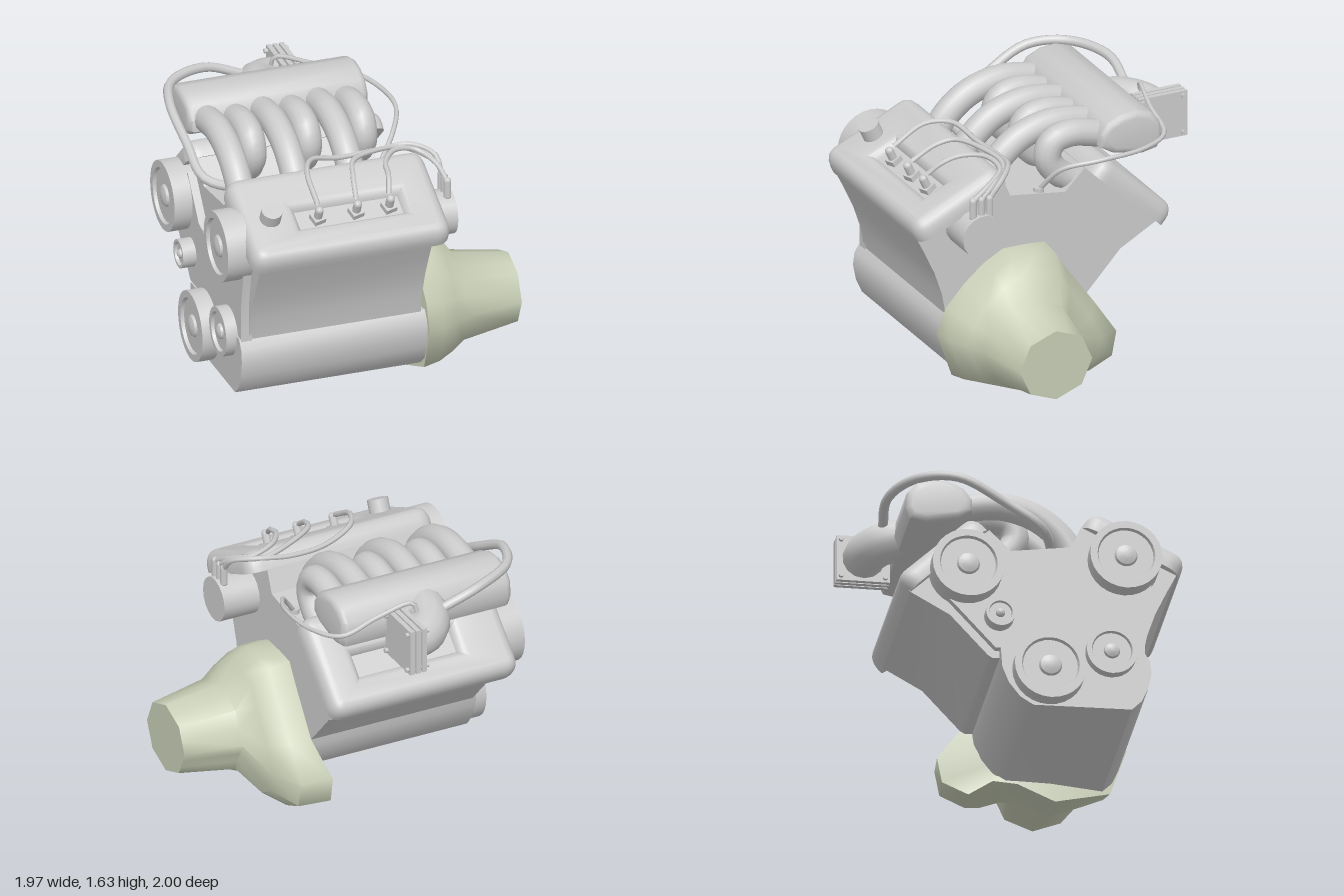
import * as THREE from 'three';
import { toCreasedNormals } from 'three/addons/utils/BufferGeometryUtils.js';

const grey = new THREE.MeshStandardMaterial({ color: 0xcccccc });
const thin = new THREE.MeshStandardMaterial({ color: 0xcccccc, side: THREE.DoubleSide });
const olive = new THREE.MeshStandardMaterial({ color: 0xc8ceb6 });
const V = (p) => new THREE.Vector3(...p);

function add(parent, name, geometry, material = grey) {
  const mesh = new THREE.Mesh(geometry, material);
  mesh.name = name;
  parent.add(mesh);
  return mesh;
}

// Extrudes a [z, y] outline along x from x0 to x1, with optional rounded ends
function alongX(outline, x0, x1, bevel = 0) {
  const shape = new THREE.Shape(outline.map(([z, y]) => new THREE.Vector2(-z, y)));
  const geo = new THREE.ExtrudeGeometry(shape, {
    depth: x1 - x0 - 2 * bevel, bevelEnabled: bevel > 0, bevelThickness: bevel,
    bevelSize: bevel, bevelOffset: -bevel, bevelSegments: 3,
  });
  geo.rotateY(Math.PI / 2).translate(x0 + bevel, 0, 0);
  return toCreasedNormals(geo, 0.7);
}

function tube(points, radius, sides = 8, segments = 32) {
  return new THREE.TubeGeometry(new THREE.CatmullRomCurve3(points.map(V)), segments, radius, sides);
}

// Closed skin over rings of points, each ring clockwise seen from +x
function loft(rings) {
  const n = rings[0].length, pos = [], idx = [];
  for (const ring of rings) for (const p of ring) pos.push(...p);
  for (let i = 0; i < rings.length - 1; i++) {
    for (let j = 0; j < n; j++) {
      const a = i * n + j, b = i * n + (j + 1) % n;
      idx.push(a, a + n, b, b, a + n, b + n);
    }
  }
  const last = (rings.length - 1) * n, c0 = rings.length * n;
  pos.push(0.26, 0.4, 0.3, rings[rings.length - 1][0][0], 0.39, 0.36);
  for (let j = 0; j < n; j++) {
    const k = (j + 1) % n;
    idx.push(c0, j, k, c0 + 1, last + k, last + j);
  }
  const geo = new THREE.BufferGeometry();
  geo.setAttribute('position', new THREE.Float32BufferAttribute(pos, 3));
  geo.setIndex(idx);
  return toCreasedNormals(geo, 1.05);
}

function roundedRect(x0, y0, x1, y1, r) {
  return new THREE.Shape().moveTo(x0 + r, y0).lineTo(x1 - r, y0).quadraticCurveTo(x1, y0, x1, y0 + r)
    .lineTo(x1, y1 - r).quadraticCurveTo(x1, y1, x1 - r, y1)
    .lineTo(x0 + r, y1).quadraticCurveTo(x0, y1, x0, y1 - r)
    .lineTo(x0, y0 + r).quadraticCurveTo(x0, y0, x0 + r, y0);
}

// Valve cover lying on a tilted plane from start to end [z, y], with a sloped recess for spark plug boots
function valveCover(name, start, end, recessAt, plugs) {
  const group = new THREE.Group();
  group.name = name;
  const dz = end[0] - start[0], dy = end[1] - start[1], length = Math.hypot(dz, dy);
  group.position.set(0, start[1], start[0]);
  group.rotation.x = Math.atan2(dz, dy);
  const shape = roundedRect(-0.87, 0, 0.4, length, 0.1);
  const v = recessAt * length;
  shape.holes.push(new THREE.Path([[-0.5, v - 0.06], [-0.5, v + 0.06], [0.14, v + 0.06], [0.14, v - 0.06]]
    .map(([x, y]) => new THREE.Vector2(x, y))));
  const geo = new THREE.ExtrudeGeometry(shape, {
    depth: 0.035, bevelThickness: 0.095, bevelSize: 0.07, bevelOffset: -0.07, bevelSegments: 4, curveSegments: 6,
  });
  // Flat underside
  const p = geo.attributes.position;
  for (let i = 0; i < p.count; i++) p.setZ(i, Math.max(0, p.getZ(i)));
  add(group, 'coverShell', toCreasedNormals(geo, 0.6));
  add(group, 'recessFloor', new THREE.BoxGeometry(0.68, 0.17, 0.07).translate(-0.18, v, 0.045));
  for (const x of plugs) {
    const base = add(group, 'plugBase', new THREE.BoxGeometry(0.075, 0.075, 0.04));
    base.position.set(x, v - 0.01, 0.095);
    base.rotation.z = 0.25;
    add(group, 'plugBoot', new THREE.CapsuleGeometry(0.027, 0.06, 4, 8).rotateX(Math.PI / 2).translate(x, v - 0.01, 0.14));
  }
  return group;
}

// Pulley with raised rim and hub, face towards -x
function pulley(z, y, r, x, w) {
  const dish = w - 0.02;
  const profile = [[0, 0], [r, 0], [r, w], [r * 0.8, w], [r * 0.76, dish], [r * 0.32, dish],
    [r * 0.28, w - 0.005], [r * 0.15, w + 0.005], [0, w + 0.008]].map(([a, b]) => new THREE.Vector2(a, b));
  const geo = new THREE.LatheGeometry(profile, 28).rotateZ(Math.PI / 2).translate(x, y, z);
  return toCreasedNormals(geo, 0.6);
}

export function createModel() {
  const engine = new THREE.Group();
  engine.name = 'engine';

  // V-shaped block and rounded crankcase
  add(engine, 'block', alongX([[0.97, 1.1], [0.9, 0.96], [0.83, 0.81], [0.78, 0.66], [0.75, 0.5], [-0.16, 0.45],
    [-0.19, 0.47], [-0.42, 0.72], [-0.67, 0.86], [-0.18, 1.3], [-0.05, 1.17], [0.32, 1.22], [0.38, 1.36]], -0.82, 0.28));
  add(engine, 'crankcase', alongX([[0.75, 0.53], [0.79, 0.47], [0.8, 0.39], [0.78, 0.29], [0.74, 0.2], [0.68, 0.14],
    [0.08, 0.13], [0.0, 0.18], [-0.07, 0.27], [-0.11, 0.37], [-0.12, 0.5]], -0.88, 0.32));
  add(engine, 'timingPlate', alongX([[0.76, 0.5], [0.76, 0.77], [0.82, 1.08], [0.45, 1.25], [0.3, 1.0], [0.15, 0.92],
    [0.0, 0.95], [-0.2, 1.2], [-0.52, 0.9], [-0.38, 0.75], [-0.15, 0.5]], -0.87, -0.8));

  // Bell housing with starter lobe, tapering to an octagonal tail: [z, y, matching tail angle]
  const outline = [[0.83, 0.42, 0], [0.77, 0.58, 22.5], [0.64, 0.72, 45], [0.5, 0.81, 67.5], [0.37, 0.88, 90],
    [0.22, 0.88, 112.5], [0.09, 0.87, 135], [0.02, 0.76, 157.5], [-0.19, 0.47, 180], [-0.34, 0.25, 195],
    [-0.31, 0.09, 210], [-0.15, 0.02, 225], [0, 0.12, 236], [0.15, 0.11, 250], [0.38, 0.01, 270], [0.73, 0.13, 315]];
  const rings = [[0, 0, 0.3], [0.42, 0.04, 0.3], [0.53, 0.42, 0.3], [0.62, 1, 0.285], [0.98, 1, 0.225]]
    .map(([x, taper, r]) => outline.map(([z, y, deg]) => {
      const a = THREE.MathUtils.degToRad(deg);
      const q = r * Math.cos(Math.PI / 8) / Math.cos(THREE.MathUtils.degToRad((deg % 45) - 22.5));
      const t = z > 0.6 ? Math.sqrt(taper) : taper;
      const mountX = z > 0.6 ? 0.31 : y < 0.3 ? 0.21 : 0.28;
      return [x || mountX, THREE.MathUtils.lerp(y, 0.39 + q * Math.sin(a), t),
        THREE.MathUtils.lerp(z, 0.36 + 1.08 * q * Math.cos(a), t)];
    }));
  add(engine, 'bellHousing', loft(rings), olive);

  // Valve covers on both banks
  engine.add(valveCover('frontValveCover', [0.975, 1.07], [0.38, 1.355], 0.43, [-0.385, -0.14, 0.07]));
  engine.add(valveCover('rearValveCover', [-0.185, 1.3], [-0.665, 0.85], 0.57, []));
  const cap = add(engine, 'oilFillerCap', new THREE.CylinderGeometry(0.065, 0.065, 0.09, 16));
  cap.position.set(-0.685, 1.35, 0.775);
  cap.rotation.x = 0.44;

  // Accessory and cam pulleys: z, y, radius, rear x, width
  for (const [z, y, r, x, w] of [[0.63, 1.12, 0.22, -0.82, 0.165], [-0.33, 1.0, 0.22, -0.82, 0.165],
    [0.17, 0.36, 0.22, -0.88, 0.105], [0.55, 0.5, 0.155, -0.87, 0.075], [-0.13, 0.7, 0.09, -0.87, 0.085]]) {
    add(engine, 'pulley', pulley(z, y, r, x, w));
  }

  // Intake plenum and six runners, alternating between the banks
  add(engine, 'intakePlenum', alongX([[-0.28, 1.42], [-0.28, 1.5], [-0.33, 1.57], [-0.42, 1.61], [-0.52, 1.62],
    [-0.62, 1.59], [-0.68, 1.52], [-0.69, 1.42], [-0.66, 1.35], [-0.56, 1.33], [-0.36, 1.37]], -0.83, 0.32, 0.04));
  const longPath = [[-0.34, 1.48], [-0.1, 1.51], [0.1, 1.46], [0.24, 1.36], [0.32, 1.25], [0.34, 1.17]];
  const shortPath = [[-0.34, 1.46], [-0.14, 1.5], [-0.02, 1.47], [0.02, 1.38], [-0.03, 1.28], [-0.18, 1.17]];
  for (let i = 0; i < 6; i++) {
    const x = -0.71 + i * 0.177;
    const path = (i % 2 ? shortPath : longPath).map(([z, y]) => [x, y, z]);
    add(engine, i % 2 ? 'shortRunner' : 'longRunner', tube(path, 0.085, 14, 24));
  }

  // Throttle elbow and bolted flange
  add(engine, 'throttleElbow', tube([[-0.26, 1.46, -0.5], [-0.26, 1.455, -0.64], [-0.22, 1.43, -0.76], [-0.15, 1.41, -0.82],
    [-0.06, 1.4, -0.835]], 0.13, 14, 20));
  for (const x of [-0.07, -0.028, 0.012]) {
    add(engine, 'throttleFlange', new THREE.BoxGeometry(0.03, 0.295, 0.325).translate(x, 1.4, -0.835));
  }
  add(engine, 'throttleCore', new THREE.BoxGeometry(0.09, 0.25, 0.27).translate(-0.03, 1.4, -0.835));
  for (const y of [1.28, 1.52]) for (const z of [-0.97, -0.7]) {
    add(engine, 'flangeBolt', new THREE.CylinderGeometry(0.015, 0.015, 0.155, 8).rotateZ(Math.PI / 2).translate(-0.03, y, z));
  }

  // Distributor with three lead towers
  add(engine, 'distributor', toCreasedNormals(
    new THREE.CylinderGeometry(0.14, 0.14, 0.3, 18).rotateZ(Math.PI / 2).translate(0.37, 1.1, 0.615), 0.6));
  const towers = [0.56, 0.615, 0.67];
  for (const z of towers) {
    add(engine, 'leadTower', new THREE.CapsuleGeometry(0.024, 0.1, 4, 8).translate(0.48, 1.28, z));
  }

  // Ignition leads from towers to the front spark plugs
  const leads = [
    [[0.47, 1.42, 0.48], [0.35, 1.46, 0.37], [0.15, 1.44, 0.34], [-0.1, 1.44, 0.36], [-0.3, 1.49, 0.42], [-0.38, 1.48, 0.57], [-0.385, 1.37, 0.77]],
    [[0.45, 1.4, 0.52], [0.3, 1.45, 0.38], [0.1, 1.48, 0.42], [-0.07, 1.49, 0.52], [-0.11, 1.46, 0.63], [-0.14, 1.37, 0.77]],
    [[0.45, 1.4, 0.55], [0.36, 1.45, 0.43], [0.22, 1.48, 0.45], [0.12, 1.47, 0.57], [0.1, 1.44, 0.68], [0.07, 1.37, 0.77]],
  ];
  leads.forEach((path, i) => add(engine, 'ignitionLead', tube([[0.48, 1.33, towers[i]], ...path], 0.017, 6, 36), thin));

  // Breather hose around the pulley end, and sensor cable around the other
  add(engine, 'breatherHose', tube([[-0.3, 1.5, -0.75], [-0.55, 1.59, -0.76], [-0.82, 1.61, -0.62], [-0.92, 1.59, -0.38],
    [-0.91, 1.45, -0.1], [-0.88, 1.32, 0.12], [-0.7, 1.27, 0.21], [-0.45, 1.27, 0.23], [-0.2, 1.28, 0.24],
    [-0.13, 1.3, 0.3], [-0.13, 1.34, 0.42]], 0.03, 8, 48), thin);
  add(engine, 'sensorCable', tube([[-0.14, 1.5, -0.77], [-0.12, 1.59, -0.75], [0.1, 1.53, -0.71], [0.33, 1.45, -0.69],
    [0.44, 1.43, -0.5], [0.46, 1.42, -0.2], [0.36, 1.36, 0.02], [0.24, 1.2, 0.11]], 0.015, 6, 40), thin);
  add(engine, 'sensor', new THREE.CylinderGeometry(0.035, 0.035, 0.06, 10).translate(0.24, 1.19, 0.11));

  return engine;
}
